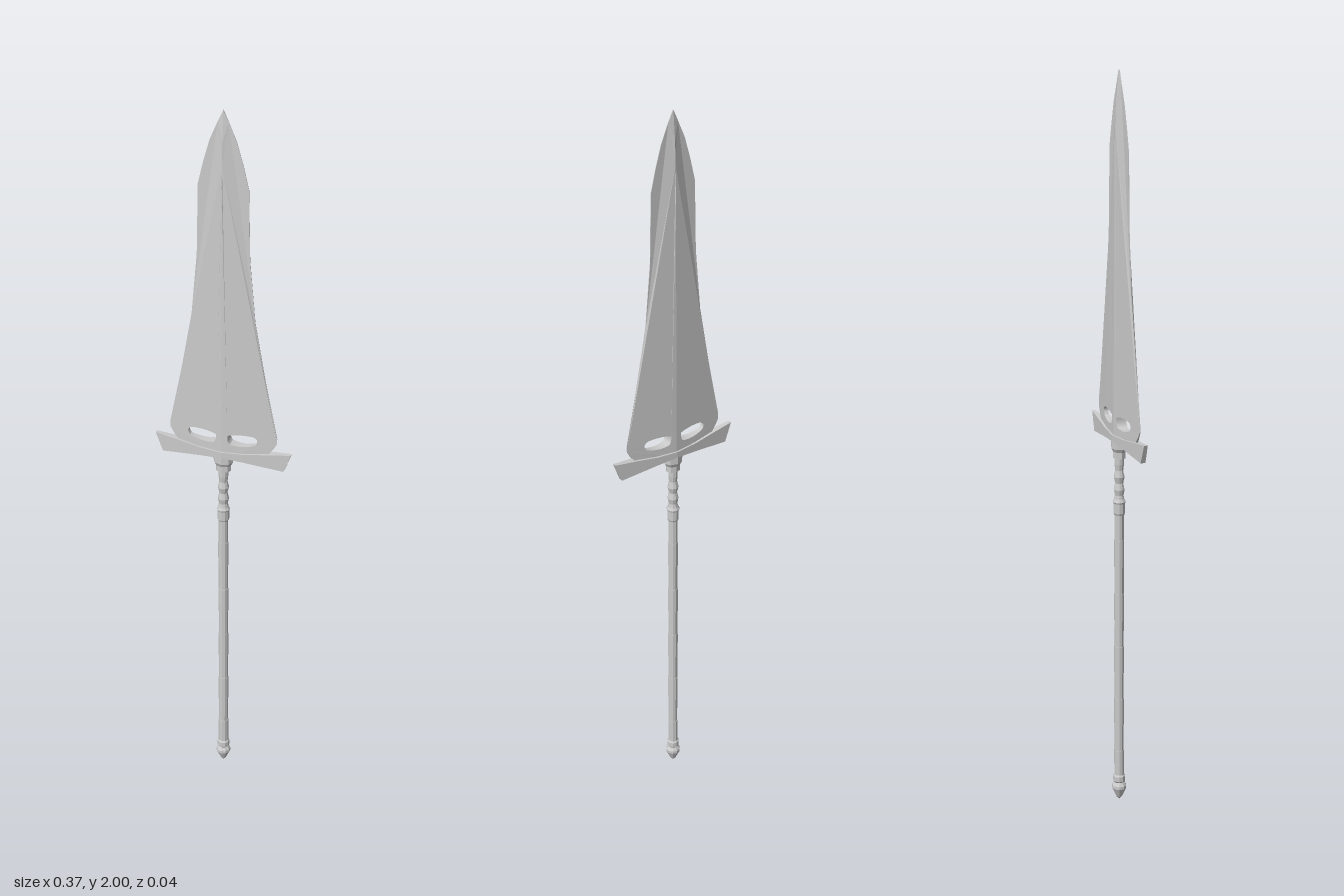
import * as THREE from 'three';

const material = new THREE.MeshStandardMaterial({ color: 0xcccccc, flatShading: true });
const V = (x, y) => new THREE.Vector2(x, y);

function addMesh(parent, name, geometry) {
  const mesh = new THREE.Mesh(geometry, material);
  mesh.name = name;
  parent.add(mesh);
  return mesh;
}

// Half outline (x >= 0), extruded and thinned towards its edge; the other half is turned about y
function addWedgePair(parent, name, shape, halfDepth) {
  const geometry = new THREE.ExtrudeGeometry(shape, { depth: 1, bevelEnabled: false, curveSegments: 8 });
  const p = geometry.attributes.position;
  for (let i = 0; i < p.count; i++) {
    const side = p.getZ(i) > 0.5 ? 1 : -1;
    p.setZ(i, side * halfDepth(p.getX(i), p.getY(i)));
  }
  geometry.computeVertexNormals();
  addMesh(parent, name + 'Left', geometry);
  addMesh(parent, name + 'Right', geometry).rotation.y = Math.PI;
}

// Linear lookup of x in a list of [y, x] pairs with falling y
function lookup(table, y) {
  for (let i = 1; i < table.length; i++) {
    const [y0, x0] = table[i - 1], [y1, x1] = table[i];
    if (y >= y1) return x0 + (x1 - x0) * (y0 - y) / (y0 - y1);
  }
  return table[table.length - 1][1];
}

export function createModel() {
  const group = new THREE.Group();

  // Blade: flared edge, raised central ridge, a window in each half
  const edge = [[2, 0], [1.97, 0.014], [1.92, 0.035], [1.86, 0.052], [1.8, 0.066], [1.61, 0.07],
    [1.44, 0.085], [1.28, 0.113], [1.11, 0.147]];
  const ridge = [[2, 0.001], [1.92, 0.008], [1.8, 0.012], [1.11, 0.015], [1.03, 0.016]];
  const bladeShape = new THREE.Shape([
    V(0, 1.035), V(0.1, 1.052), V(0.125, 1.062), V(0.139, 1.08), V(0.147, 1.095),
    ...edge.slice().reverse().map(([y, x]) => V(x, y)),
    ...edge.slice(1).map(([y]) => V(0, y)),
  ]);
  const windowHole = new THREE.Path();
  windowHole.moveTo(0.016, 1.103);
  windowHole.quadraticCurveTo(0.05, 1.112, 0.085, 1.107);
  windowHole.quadraticCurveTo(0.102, 1.1, 0.09, 1.083);
  windowHole.quadraticCurveTo(0.055, 1.068, 0.022, 1.077);
  windowHole.quadraticCurveTo(0.014, 1.085, 0.016, 1.103);
  bladeShape.holes.push(windowHole);
  addWedgePair(group, 'blade', bladeShape, (x, y) => {
    const w = Math.max(lookup(edge, y), 0.001);
    return 0.0008 + lookup(ridge, y) * Math.max(0, 1 - x / w);
  });

  // Crossguard: two arms widening outward and thinning in depth
  const guardShape = new THREE.Shape([
    V(0, 1.035), V(0.06, 1.03), V(0.167, 1.018), V(0.187, 1.07), V(0.12, 1.062), V(0.06, 1.054), V(0, 1.052),
  ]);
  addWedgePair(group, 'guardArm', guardShape, x => 0.021 - 0.016 * x / 0.187);

  // Collar under the guard
  const collar = new THREE.LatheGeometry([
    V(0, 0.985), V(0.021, 0.988), V(0.021, 1.005), V(0.027, 1.015), V(0.027, 1.035), V(0.017, 1.056), V(0, 1.06),
  ], 8);
  collar.scale(1, 1, 0.8);
  addMesh(group, 'collar', collar);

  // Turned neck and ring above the grip
  addMesh(group, 'neck', new THREE.LatheGeometry([
    V(0.014, 0.83), V(0.016, 0.835), V(0.016, 0.862), V(0.018, 0.866), V(0.014, 0.874), V(0.012, 0.885),
    V(0.015, 0.9), V(0.011, 0.918), V(0.015, 0.935), V(0.011, 0.953), V(0.013, 0.97), V(0.013, 0.99),
  ], 10));

  // Shaft of equal sections, every other one a hair thinner
  const shaft = [], sections = 10, step = 0.76 / sections;
  for (let i = 0; i < sections; i++) {
    const r = i % 2 ? 0.0128 : 0.014;
    shaft.push(V(r, 0.075 + i * step), V(r, 0.075 + (i + 1) * step));
  }
  addMesh(group, 'shaft', new THREE.LatheGeometry(shaft, 10));

  // Ringed foot cap ending in a point
  addMesh(group, 'footCap', new THREE.LatheGeometry([
    V(0, 0.003), V(0.008, 0.012), V(0.02, 0.038), V(0.02, 0.046), V(0.014, 0.056), V(0.017, 0.06),
    V(0.017, 0.074), V(0.013, 0.08),
  ], 10));

  return group;
}
